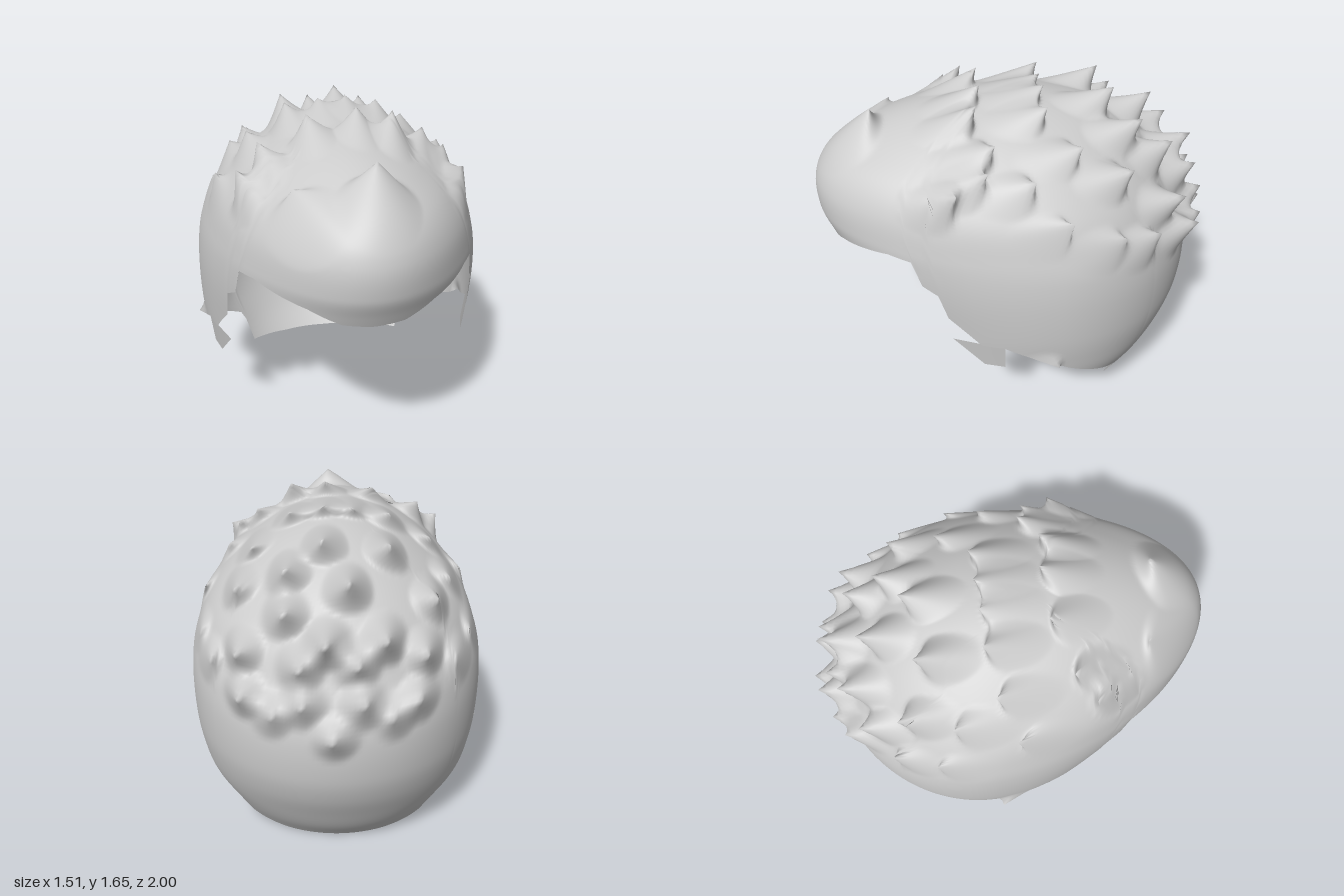
import * as THREE from 'three';

const TOP = 1.575;
// Horizontal rings of the shell: height, half width, front z, back z
const RINGS = [
  [0, 0.56, 0.8, -0.6], [0.15, 0.62, 0.8, -0.71], [0.3, 0.69, 0.8, -0.79],
  [0.45, 0.72, 0.8, -0.86], [0.6, 0.735, 0.82, -0.9], [0.8, 0.735, 0.9, -0.905],
  [0.95, 0.72, 0.96, -0.87], [1.05, 0.695, 0.995, -0.82], [1.2, 0.635, 0.99, -0.74],
  [1.32, 0.54, 0.92, -0.64], [1.42, 0.42, 0.75, -0.52], [1.5, 0.29, 0.55, -0.38],
  [1.55, 0.16, 0.34, -0.2], [TOP, 0, 0.05, 0.05],
];
// Distance of each ring from the crown, used to blend between rings
const crownDistance = (y) => Math.sqrt(Math.max(0, 1 - y / TOP));
const RING_Q = RINGS.map((r) => crownDistance(r[0]));

// Lower edge on one side: angle from the front, height
const RIM = [
  [0, 0.9], [0.21, 0.91], [0.43, 0.97], [0.8, 1.02], [0.92, 1.01], [0.93, 0.88],
  [1.0, 0.84], [1.01, 0.7], [1.16, 0.55], [1.28, 0.55], [1.64, 0.39],
  [2.2, 0.2], [2.23, 0.15], [2.24, 0.03], [2.7, 0.005], [Math.PI, 0],
];
// Tips of the spikes
const FRONT_TIPS = [[0.05, 1.55, 0.69], [-0.3, 1.42, 0.62]];
const TIPS = [
  [-0.42, 1.52, 0.24], [-0.18, 1.62, 0.17], [0.06, 1.65, 0.17], [0.23, 1.63, 0.2],
  [0.4, 1.52, 0.13], [0.5, 1.44, 0.17], [-0.53, 1.42, 0.33], [0.56, 1.37, 0.32],
  [0.06, 1.63, -0.13], [-0.25, 1.6, -0.14], [-0.08, 1.62, -0.13], [0.22, 1.6, -0.13],
  [-0.45, 1.47, -0.12], [-0.62, 1.28, -0.05], [0.53, 1.4, -0.04], [0.39, 1.48, -0.27],
  [-0.53, 1.36, -0.33], [0.64, 1.24, -0.2], [-0.24, 1.57, -0.45], [0.06, 1.6, -0.47],
  [-0.45, 1.37, -0.57], [0.45, 1.38, -0.5], [0.22, 1.51, -0.58], [-0.06, 1.5, -0.69],
  [0.22, 1.38, -0.74], [-0.63, 1.13, -0.44], [0.63, 1.13, -0.45], [-0.22, 1.3, -0.83],
  [0.04, 1.31, -0.89], [-0.4, 1.2, -0.77], [0.43, 1.2, -0.77], [-0.54, 1.09, -0.64],
  [0.56, 1.09, -0.63], [0.15, 1.2, -0.9], [-0.1, 1.21, -0.89], [0.01, 0.9, -1],
  [-0.13, 1.07, -0.96], [0.14, 1.05, -0.95], [-0.25, 0.97, -0.92], [0.27, 0.98, -0.92],
  [-0.37, 1.03, -0.86], [0.42, 1.03, -0.86],
];
// Small points beside the ears
const EAR_TIPS = [[-0.76, 0.44, -0.14], [0.75, 0.44, -0.14]];

// Smooth cubic blend of the ring sizes at a height
function ringAt(y) {
  const q = crownDistance(y), last = RINGS.length - 1;
  let i = 1;
  while (i < last && RINGS[i][0] < y) i++;
  const h = RING_Q[i] - RING_Q[i - 1], t = (q - RING_Q[i - 1]) / h;
  const slope = (n, k) => {
    const a = Math.max(n - 1, 0), b = Math.min(n + 1, last);
    return (RINGS[b][k] - RINGS[a][k]) / (RING_Q[b] - RING_Q[a]);
  };
  const [w, front, back] = [1, 2, 3].map((k) => {
    const s = t * t * (3 - 2 * t);
    return RINGS[i - 1][k] * (1 - s) + RINGS[i][k] * s
      + h * t * (1 - t) * ((1 - t) * slope(i - 1, k) - t * slope(i, k));
  });
  const centre = -0.15 + 0.2 * THREE.MathUtils.smoothstep(y, 0.95, TOP);
  return { w, front, back, centre };
}

// The plan is an oval, a little narrower towards the brow
function shellPoint(angle, y) {
  const r = ringAt(y), c = Math.cos(angle);
  const z = r.centre + c * (c > 0 ? r.front - r.centre : r.centre - r.back);
  const narrow = c > 0 ? 1 - 0.08 * c * c : 1;
  return new THREE.Vector3(r.w * Math.sin(angle) * narrow, y, z);
}

// Columns run from the lower edge to the crown, mirrored left to right
function rimColumns() {
  const half = [];
  for (let k = 0; k < RIM.length - 1; k++) {
    const [a0, y0] = RIM[k], [a1, y1] = RIM[k + 1];
    const n = Math.max(1, Math.ceil((a1 - a0) / 0.03));
    for (let s = 0; s < n; s++) half.push([a0 + (a1 - a0) * s / n, y0 + (y1 - y0) * s / n]);
  }
  const mirrored = half.slice(1).reverse().map(([a, y]) => [2 * Math.PI - a, y]);
  return [...half, RIM[RIM.length - 1], ...mirrored];
}

// Pull the surface round each tip out into a backswept spike
function pullSpikes(points, tips, radius, lead) {
  const base = points.map((p) => p.clone());
  for (const tip of tips) {
    const end = new THREE.Vector3(...tip);
    const root = end.clone().add(new THREE.Vector3(0, -lead * 0.6, lead));
    let near = base[0];
    for (const p of base) if (p.distanceToSquared(root) < near.distanceToSquared(root)) near = p;
    const move = end.sub(near);
    base.forEach((p, i) => {
      // Long slope in front, steep drop behind
      const dz = (p.z - near.z) * (p.z > near.z ? 0.55 : 1.3);
      const d = Math.hypot(p.x - near.x, p.y - near.y, dz) / radius;
      if (d < 1) points[i].addScaledVector(move, Math.pow(1 - d, 1.35));
    });
  }
}

function shellGeometry() {
  const cols = rimColumns(), rows = 90, points = [], index = [];
  cols.forEach(([angle, rimY], j) => {
    const even = 2 * Math.PI * j / cols.length, q0 = crownDistance(rimY);
    for (let i = 0; i <= rows; i++) {
      const q = q0 * (1 - i / rows);
      const spread = THREE.MathUtils.smoothstep(i / rows, 0, 0.4);
      points.push(shellPoint(angle + (even - angle) * spread, TOP * (1 - q * q)));
    }
  });
  pullSpikes(points, FRONT_TIPS, 0.2, 0.12);
  pullSpikes(points, TIPS, 0.12, 0.1);
  pullSpikes(points, EAR_TIPS, 0.08, 0.03);
  for (let j = 0; j < cols.length; j++) {
    const a = j * (rows + 1), b = ((j + 1) % cols.length) * (rows + 1);
    for (let i = 0; i < rows; i++) {
      index.push(a + i, b + i, b + i + 1);
      if (i < rows - 1) index.push(a + i, b + i + 1, a + i + 1);
    }
  }
  const geo = new THREE.BufferGeometry().setFromPoints(points);
  geo.setIndex(index);
  geo.computeVertexNormals();
  return geo;
}

// Pointed flap that follows the side of the shell
function sideburnGeometry(side) {
  const outline = [[0.37, 0.55], [0.22, 0.4], [0.12, 0.4], [0.12, 0.56], [0.23, 0.56]];
  const geo = new THREE.ShapeGeometry(new THREE.Shape(outline.map(([z, y]) => new THREE.Vector2(z, y))));
  const pos = geo.attributes.position;
  for (let i = 0; i < pos.count; i++) {
    const z = pos.getX(i), y = pos.getY(i), r = ringAt(y);
    const p = shellPoint(Math.acos((z - r.centre) / (r.front - r.centre)), y);
    pos.setXYZ(i, side * p.x, y, z);
  }
  // Turn the corners so that the left flap faces outward too
  if (side > 0) geo.setIndex(Array.from(geo.index.array).reverse());
  geo.computeVertexNormals();
  return geo;
}

export function createModel() {
  const group = new THREE.Group();
  group.name = 'spikyHair';
  const hairGrey = new THREE.MeshStandardMaterial({ color: 0xcccccc, side: THREE.DoubleSide });
  hairGrey.name = 'hairGrey';
  const add = (name, geo) => {
    const mesh = new THREE.Mesh(geo, hairGrey);
    mesh.name = name;
    group.add(mesh);
  };
  add('hairShell', shellGeometry());
  add('leftSideburn', sideburnGeometry(1));
  add('rightSideburn', sideburnGeometry(-1));
  return group;
}
